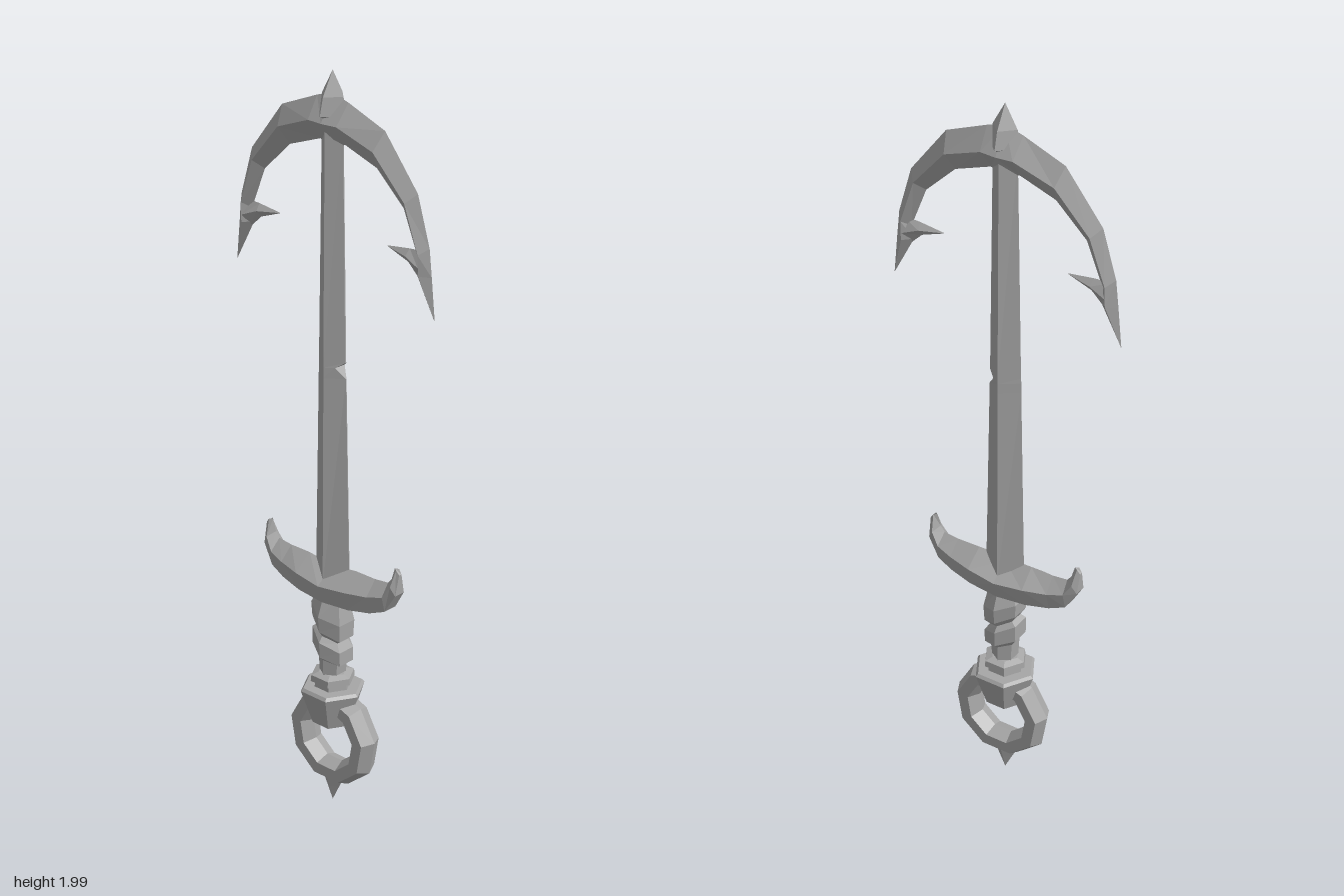
import * as THREE from 'three';

const steel = new THREE.MeshStandardMaterial({ color: 0xa6a6a6, flatShading: true });
steel.name = 'steel';

// Skin a list of closed cross-sections (each a loop of [x, y, z]) and cap both ends.
function loft(name, sections) {
  const n = sections[0].length, m = sections.length;
  const pos = sections.flat(2), idx = [];
  for (let i = 0; i < m - 1; i++) {
    for (let j = 0; j < n; j++) {
      const a = i * n + j, b = i * n + (j + 1) % n;
      idx.push(a, b, b + n, a, b + n, a + n);
    }
  }
  const last = (m - 1) * n;
  for (let j = 1; j < n - 1; j++) idx.push(0, j + 1, j, last, last + j, last + j + 1);

  // Turn the faces outward when the signed volume is negative.
  const p = (i) => new THREE.Vector3().fromArray(pos, idx[i] * 3);
  let volume = 0;
  for (let i = 0; i < idx.length; i += 3) volume += p(i).dot(p(i + 1).cross(p(i + 2)));
  if (volume < 0) idx.reverse();

  const g = new THREE.BufferGeometry();
  g.setAttribute('position', new THREE.Float32BufferAttribute(pos, 3));
  g.setIndex(idx);
  return finish(name, g);
}

function finish(name, geometry) {
  const g = geometry.index ? geometry.toNonIndexed() : geometry;
  g.computeVertexNormals();
  const mesh = new THREE.Mesh(g, steel);
  mesh.name = name;
  return mesh;
}

// Faceted turned part from [radius, y] pairs.
function turned(name, profile, sides) {
  return finish(name, new THREE.LatheGeometry(profile.map(([r, y]) => new THREE.Vector2(r, y)), sides));
}

// Diamond section between an outer and an inner [z, y] point, half width w.
function diamond([oz, oy], [iz, iy], w, s = 1) {
  const mz = s * (oz + iz) / 2, my = (oy + iy) / 2;
  return [[0, oy, s * oz], [w, my, mz], [0, iy, s * iz], [-w, my, mz]];
}

// Section of the guard: top ridge, wide shoulders, narrower flat underside.
function guardSection([tz, ty], [bz, by], w, s) {
  const mz = s * (tz + bz) / 2, my = (ty + by) / 2 + 0.005;
  return [[0, ty, s * tz], [w, my, mz], [w * 0.75, by, s * bz], [-w * 0.75, by, s * bz], [-w, my, mz]];
}

export function createModel() {
  const model = new THREE.Group();
  model.name = 'anchorSword';

  // Shaft: long diamond blade with a chip in its front edge.
  // y, half width, front z, front flat, back z
  const shaft = [
    [0.66, 0.038, 0.058, 0.001, 0.058],
    [1.23, 0.034, 0.045, 0.001, 0.047],
    [1.258, 0.034, 0.024, 0.017, 0.047],
    [1.272, 0.034, 0.043, 0.002, 0.046],
    [1.87, 0.028, 0.034, 0.001, 0.035],
  ];
  model.add(loft('shaft', shaft.map(([y, w, f, c, b]) =>
    [[c, y, f], [w, y, 0], [0, y, -b], [-w, y, 0], [-c, y, f]])));

  // Crown spike above the arms.
  model.add(turned('crownSpike', [[0, 1.87], [0.045, 1.895], [0.034, 1.94], [0, 2]], 4));

  for (const s of [1, -1]) {
    const side = s > 0 ? 'front' : 'back';

    // Curved anchor arm ending in a point.
    const arm = [
      [[0, 1.945], [0, 1.81], 0.042],
      [[0.05, 1.93], [0.04, 1.825], 0.038],
      [[0.165, 1.885], [0.14, 1.79], 0.03],
      [[0.268, 1.755], [0.225, 1.71], 0.024],
      [[0.306, 1.63], [0.27, 1.6], 0.022],
      [[0.314, 1.56], [0.264, 1.565], 0.02],
      [[0.325, 1.455], [0.323, 1.457], 0.001],
    ];
    model.add(loft(side + 'Arm', arm.map(([o, i, w]) => diamond(o, i, w, s))));

    // Barb pointing back toward the shaft.
    const barb = [
      [[0.295, 1.62], [0.28, 1.545], 0.02],
      [[0.245, 1.617], [0.24, 1.583], 0.014],
      [[0.175, 1.608], [0.176, 1.606], 0.001],
    ];
    model.add(loft(side + 'Barb', barb.map(([o, i, w]) => diamond(o, i, w, s))));

    // Half of the upturned guard.
    const guard = [
      [[0, 0.705], [0, 0.615], 0.057],
      [[0.08, 0.715], [0.085, 0.62], 0.05],
      [[0.145, 0.715], [0.15, 0.63], 0.036],
      [[0.188, 0.72], [0.195, 0.648], 0.028],
      [[0.2, 0.735], [0.226, 0.7], 0.022],
      [[0.21, 0.768], [0.228, 0.755], 0.006],
    ];
    model.add(loft(side + 'Guard', guard.map(([t, b, w]) => guardSection(t, b, w, s))));
  }

  // Grip: six-sided wrap with slanting ridges; y, x radius, z radius, slant.
  const grip = [
    [0.39, 0.036, 0.03, 0],
    [0.445, 0.038, 0.034, 0.3],
    [0.457, 0.05, 0.05, 0.4],
    [0.5, 0.052, 0.05, 0.5],
    [0.516, 0.04, 0.036, 0.5],
    [0.532, 0.052, 0.05, 0.5],
    [0.575, 0.056, 0.052, 0.4],
    [0.628, 0.036, 0.038, 0],
  ];
  model.add(loft('grip', grip.map(([y, rx, rz, slant]) =>
    Array.from({ length: 6 }, (_, k) => {
      const a = k * Math.PI / 3 + Math.PI / 6;
      const z = Math.cos(a) * rz * 1.1;
      return [Math.sin(a) * rx, y - z * slant, z];
    }))));

  // Hexagonal collar and tapered pommel block.
  model.add(turned('collar', [[0, 0.35], [0.05, 0.355], [0.048, 0.372], [0.06, 0.378], [0.058, 0.395], [0.038, 0.402], [0, 0.402]], 6));
  model.add(turned('pommelBlock', [[0, 0.255], [0.055, 0.255], [0.087, 0.352], [0.08, 0.36], [0, 0.36]], 6));

  // Shackle ring in the yz plane.
  const ringGeometry = new THREE.TorusGeometry(0.109, 0.033, 6, 9);
  ringGeometry.rotateZ(Math.PI / 18);
  ringGeometry.rotateY(Math.PI / 2);
  ringGeometry.scale(1.2, 1, 1);
  ringGeometry.translate(0, 0.213, 0.007);
  model.add(finish('shackleRing', ringGeometry));

  // Spike below the ring.
  const spike = turned('ringSpike', [[0, 0.01], [0.022, 0.055], [0.05, 0.11], [0, 0.13]], 4);
  spike.scale.x = 0.6;
  model.add(spike);

  model.position.y = -0.005;
  return model;
}
